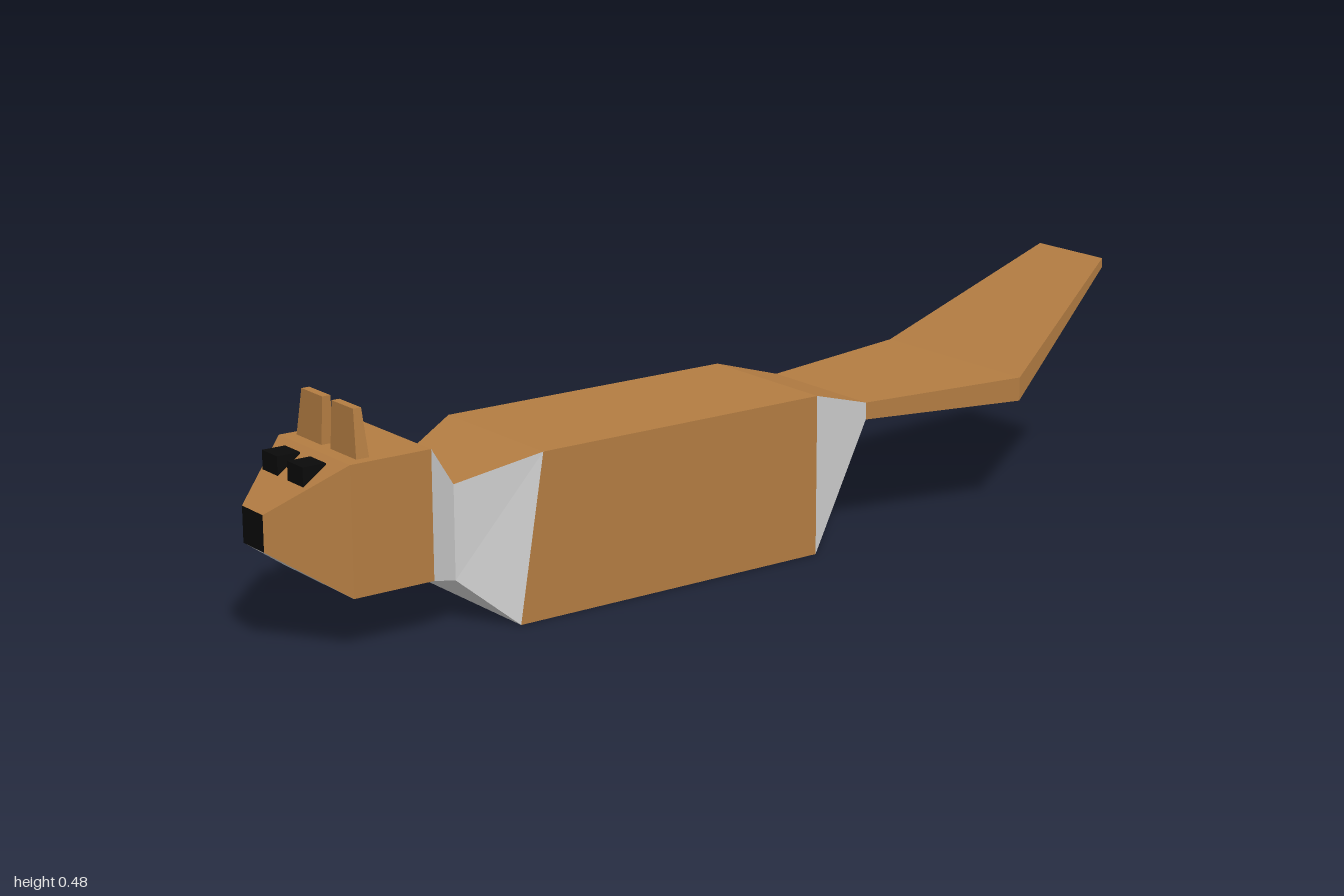
import * as THREE from 'three';

const material = (color) => new THREE.MeshStandardMaterial({ color, flatShading: true });

// Cross-section of the animal: top edge, bottom edge and half width
function section(xTop, yTop, xBottom, yBottom, half) {
  return [
    [xTop, yTop, half], [xTop, yTop, -half],
    [xBottom, yBottom, -half], [xBottom, yBottom, half],
  ];
}

// Four-sided block from section a to section b; mats = { top, side, bottom, start, end }
function block(name, a, b, mats) {
  const positions = [];
  const used = [];
  const geometry = new THREE.BufferGeometry();
  const quad = (p, q, r, s, mat) => {
    geometry.addGroup(positions.length / 3, 6, used.length);
    positions.push(...p, ...q, ...r, ...p, ...r, ...s);
    used.push(mat);
  };
  const sides = [mats.top, mats.side, mats.bottom, mats.side];
  sides.forEach((mat, i) => {
    const j = (i + 1) % 4;
    quad(a[i], b[i], b[j], a[j], mat);
  });
  if (mats.start) quad(...a, mats.start);
  if (mats.end) quad(b[3], b[2], b[1], b[0], mats.end);
  geometry.setAttribute('position', new THREE.Float32BufferAttribute(positions, 3));
  geometry.computeVertexNormals();
  const mesh = new THREE.Mesh(geometry, used);
  mesh.name = name;
  return mesh;
}

export function createModel() {
  const model = new THREE.Group();
  model.name = 'beaver';
  const fur = material(0xb27c42);
  const grey = material(0xcccccc);
  const black = material(0x0a0a0a);

  // Sections from the nose to the tip of the tail
  const nose = section(-1, 0.27, -1, 0.2, 0.037);
  const brow = section(-0.87, 0.36, -0.87, 0.11, 0.125);
  const headBack = section(-0.7, 0.36, -0.7, 0.11, 0.125);
  const neck = section(-0.635, 0.275, -0.635, 0.09, 0.095);
  const chest = section(-0.48, 0.325, -0.535, 0, 0.16);
  const rump = section(0.17, 0.325, 0.17, 0, 0.16);
  const tailRoot = section(0.31, 0.285, 0.31, 0.25, 0.143);
  const tailMiddle = section(0.67, 0.292, 0.67, 0.243, 0.203);
  const tailTip = section(1, 0.478, 1, 0.458, 0.095);

  const furry = { top: fur, side: fur, bottom: grey };
  const joint = { top: fur, side: grey, bottom: grey };
  model.add(
    block('snout', nose, brow, { ...furry, start: black }),
    block('head', brow, headBack, furry),
    block('neck', headBack, neck, joint),
    block('shoulders', neck, chest, joint),
    block('body', chest, rump, furry),
    block('hips', rump, tailRoot, joint),
    block('tailBase', tailRoot, tailMiddle, furry),
    block('tailEnd', tailMiddle, tailTip, { ...furry, end: fur }),
  );

  for (const side of [1, -1]) {
    // Eye: small block set into the slope of the snout
    const eye = new THREE.Mesh(new THREE.BoxGeometry(0.048, 0.038, 0.054), black);
    eye.name = side > 0 ? 'eyeFront' : 'eyeBack';
    eye.position.set(-0.909, 0.334, side * 0.045 - 0.005);
    model.add(eye);

    // Ear: thin upright block, narrower at the top
    const shape = new THREE.BoxGeometry(0.028, 0.1, 0.09);
    const p = shape.attributes.position;
    for (let i = 0; i < p.count; i++) {
      if (p.getY(i) > 0) {
        p.setX(i, p.getX(i) * 0.6);
        if (p.getZ(i) * side > 0) p.setZ(i, p.getZ(i) * 0.65);
      }
    }
    shape.computeVertexNormals();
    const ear = new THREE.Mesh(shape, fur);
    ear.name = side > 0 ? 'earFront' : 'earBack';
    ear.position.set(-0.83, 0.4, side * 0.061 - 0.002);
    model.add(ear);
  }
  return model;
}
